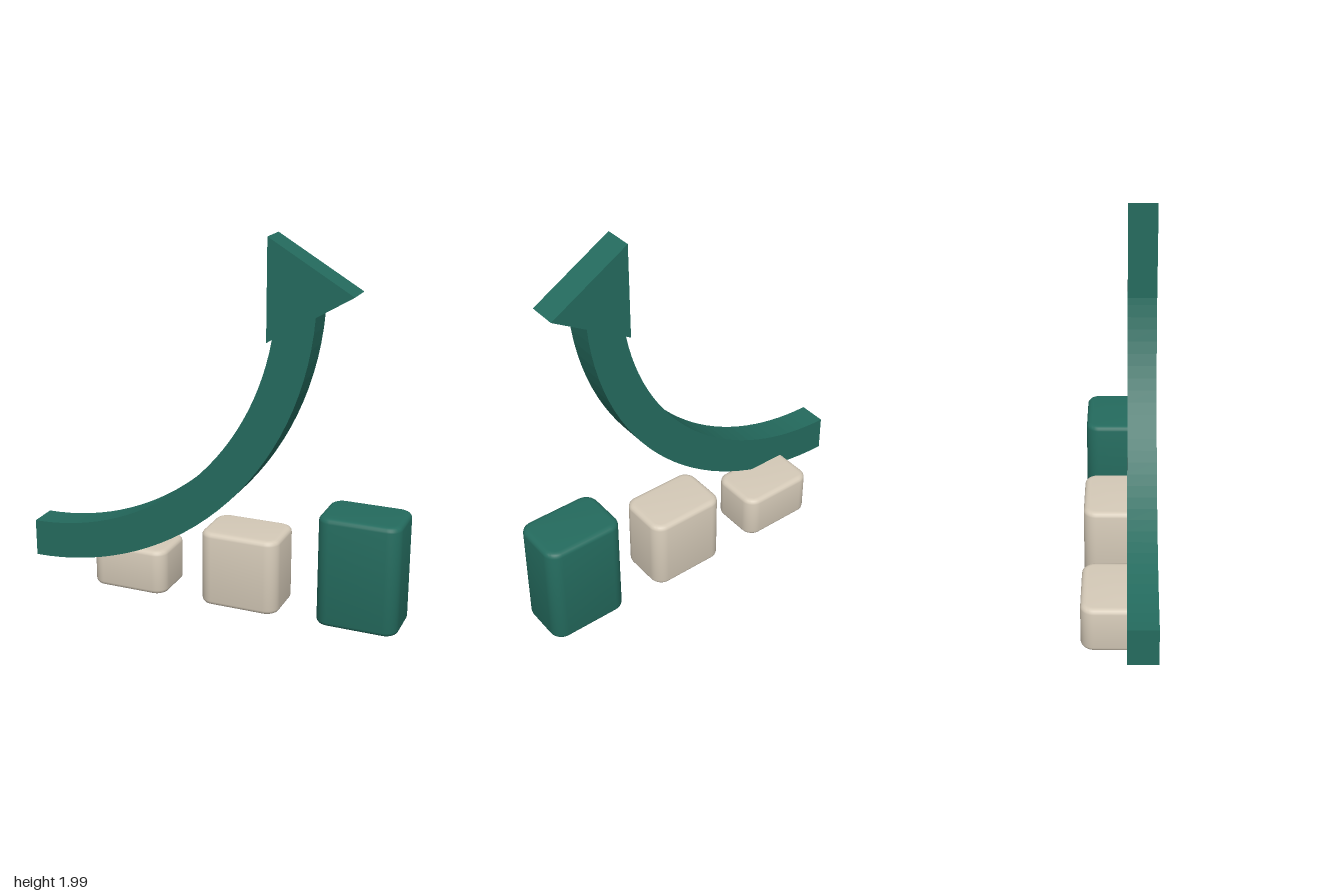
import * as THREE from 'three';
import { toCreasedNormals } from 'three/addons/utils/BufferGeometryUtils.js';

const green = new THREE.MeshStandardMaterial({ color: 0x246b5e });
green.name = 'deep green';
const beige = new THREE.MeshStandardMaterial({ color: 0xd5cab8 });
beige.name = 'warm beige';

// Upright block: rounded plan outline with a softly bevelled top and bottom
function block(name, x, height, material) {
  const w = 0.43, d = 0.305, r = 0.07, inset = 0.03, lift = 0.025;
  const a = w / 2, b = d / 2;
  const shape = new THREE.Shape();
  shape.absarc(a - r, b - r, r - inset, 0, Math.PI / 2);
  shape.absarc(-a + r, b - r, r - inset, Math.PI / 2, Math.PI);
  shape.absarc(-a + r, -b + r, r - inset, Math.PI, Math.PI * 1.5);
  shape.absarc(a - r, -b + r, r - inset, Math.PI * 1.5, Math.PI * 2);
  shape.closePath();
  const geo = new THREE.ExtrudeGeometry(shape, {
    depth: height - 2 * lift, bevelThickness: lift, bevelSize: inset,
    bevelSegments: 4, curveSegments: 5,
  });
  geo.translate(0, 0, lift).rotateX(-Math.PI / 2);
  const mesh = new THREE.Mesh(toCreasedNormals(geo, 0.7), material);
  mesh.name = name;
  mesh.position.set(x, 0, -0.0425);
  return mesh;
}

// Arrow: curved shaft sweeping up to a triangular head, cut from one slab
function arrow() {
  const cx = -1, cy = 1.733, outer = 1.573, inner = 1.373, steps = 30;
  const arc = (radius, end) => Array.from({ length: steps + 1 }, (_, i) => {
    const t = -Math.PI / 2 + (end + Math.PI / 2) * (i / steps);
    return new THREE.Vector2(cx + radius * Math.cos(t), cy + radius * Math.sin(t));
  });
  const outline = [
    ...arc(outer, -0.069),
    new THREE.Vector2(0.755, 1.736),
    new THREE.Vector2(0.324, 1.99),
    new THREE.Vector2(0.324, 1.481),
    ...arc(inner, -0.172).reverse(),
  ];
  const geo = new THREE.ExtrudeGeometry(new THREE.Shape(outline), { depth: 0.153, bevelEnabled: false });
  const mesh = new THREE.Mesh(geo, green);
  mesh.name = 'risingArrow';
  mesh.position.z = 0.037;
  return mesh;
}

export function createModel() {
  const group = new THREE.Group();
  group.name = 'growthChart';
  group.add(
    block('shortBar', -0.49, 0.25, beige),
    block('middleBar', 0.145, 0.41, beige),
    block('tallBar', 0.783, 0.59, green),
    arrow(),
  );
  // Slight turn of the whole chart
  group.rotation.y = -0.006;
  return group;
}
